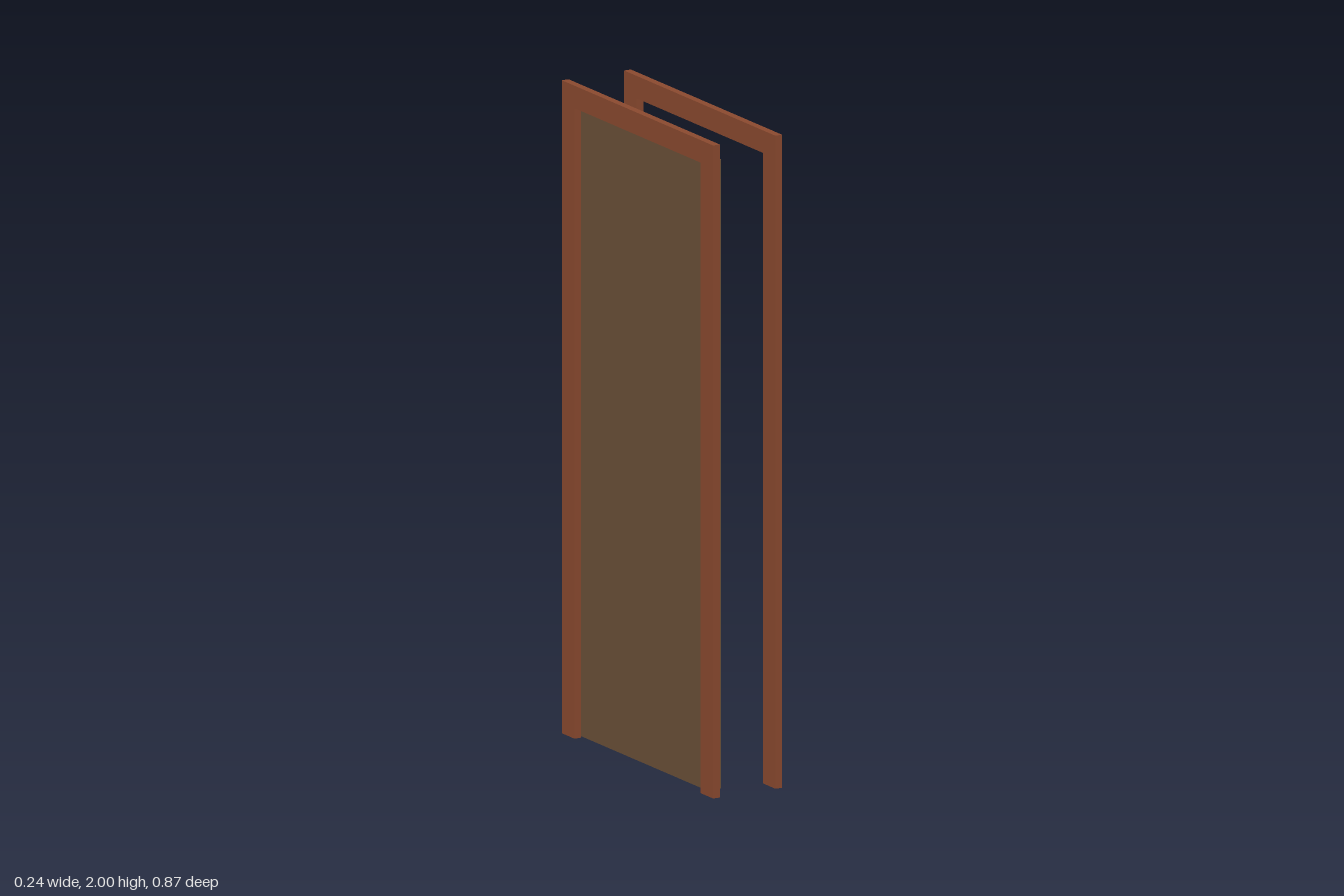
import * as THREE from 'three';

const HEIGHT = 2, HALF_WIDTH = 0.433;           // outer size of the casings
const OPEN_TOP = 1.931, OPEN_HALF = 0.361;      // doorway opening
const CASING_DEPTH = 0.023, OUTER_X = 0.119;
const DOOR_DEPTH = 0.049, DOOR_GAP = 0.005;

// U-shaped casing, open at the floor, extruded along x
function makeCasing(name, x, material) {
  const shape = new THREE.Shape([
    [-HALF_WIDTH, 0], [-OPEN_HALF, 0], [-OPEN_HALF, OPEN_TOP], [OPEN_HALF, OPEN_TOP],
    [OPEN_HALF, 0], [HALF_WIDTH, 0], [HALF_WIDTH, HEIGHT], [-HALF_WIDTH, HEIGHT],
  ].map(([u, v]) => new THREE.Vector2(u, v)));
  const geometry = new THREE.ExtrudeGeometry(shape, { depth: CASING_DEPTH, bevelEnabled: false });
  geometry.translate(0, 0, -CASING_DEPTH / 2).rotateY(Math.PI / 2);
  const casing = new THREE.Mesh(geometry, material);
  casing.name = name;
  casing.position.x = x;
  return casing;
}

export function createModel() {
  const group = new THREE.Group();
  group.name = 'door';
  const casingMaterial = new THREE.MeshStandardMaterial({ color: 0x8b4a2f });
  const doorMaterial = new THREE.MeshStandardMaterial({ color: 0x6b5138 });

  // Matching casings for the two sides of the wall
  const casingX = OUTER_X - CASING_DEPTH / 2;
  group.add(makeCasing('leftCasing', casingX, casingMaterial));
  group.add(makeCasing('rightCasing', -casingX, casingMaterial));

  // Door leaf, set against the inner face of the right casing
  const leafHeight = OPEN_TOP - DOOR_GAP;
  const leaf = new THREE.Mesh(
    new THREE.BoxGeometry(DOOR_DEPTH, leafHeight, OPEN_HALF * 2), doorMaterial);
  leaf.name = 'doorLeaf';
  leaf.position.set(-OUTER_X + CASING_DEPTH + DOOR_DEPTH / 2 - 0.001, DOOR_GAP + leafHeight / 2, 0);
  group.add(leaf);

  return group;
}
